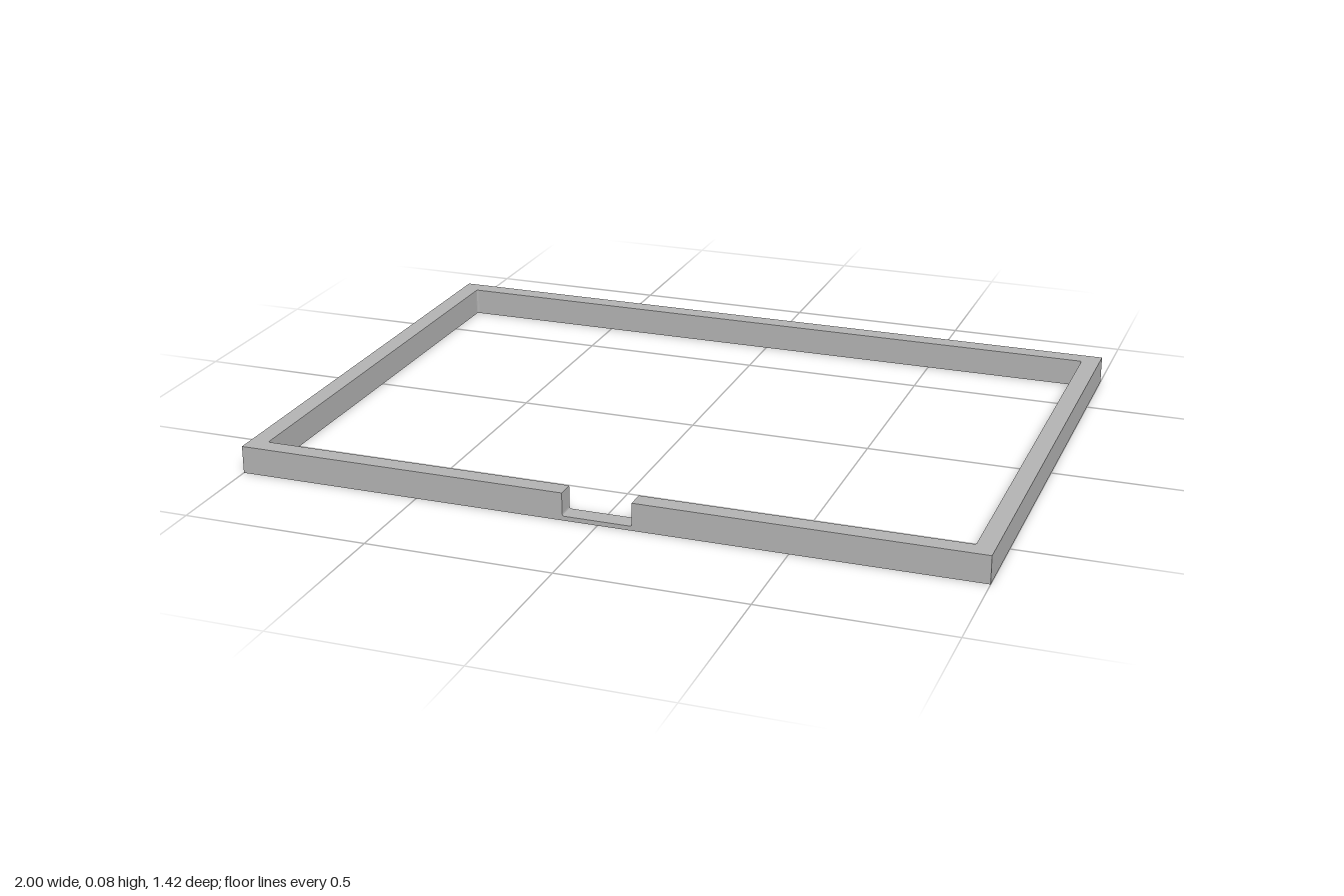
import * as THREE from 'three';

const W = 1, D = 0.71, H = 0.075; // half width, half depth, height
const T = 0.05; // wall thickness
const LEFT = 0.092, RIGHT = -0.095, SILL = 0.012; // notch in the front wall
const R = 0.006; // tiny fillet

export function createModel() {
  const group = new THREE.Group();
  group.name = 'frame';
  const grey = new THREE.MeshStandardMaterial({ color: 0xb2b2b2 });
  grey.name = 'grey';
  const add = (name, geometry) => {
    const mesh = new THREE.Mesh(geometry, grey);
    mesh.name = name;
    group.add(mesh);
  };

  // Full-height wall, open at the notch (plan drawn with the front at -y)
  const w = W - T, d = D - T;
  const plan = new THREE.Shape();
  plan.moveTo(LEFT, -D);
  plan.lineTo(W, -D);
  plan.lineTo(W, D);
  plan.lineTo(-W, D);
  plan.lineTo(-W, -D);
  plan.lineTo(RIGHT, -D);
  plan.lineTo(RIGHT, -d);
  plan.lineTo(-w + R, -d);
  plan.quadraticCurveTo(-w, -d, -w, -d + R);
  plan.lineTo(-w, d - R);
  plan.quadraticCurveTo(-w, d, -w + R, d);
  plan.lineTo(w - R, d);
  plan.quadraticCurveTo(w, d, w, d - R);
  plan.lineTo(w, -d + R);
  plan.quadraticCurveTo(w, -d, w - R, -d);
  plan.lineTo(LEFT, -d);
  plan.closePath();
  const wall = new THREE.ExtrudeGeometry(plan, { depth: H, bevelEnabled: false, curveSegments: 3 });
  add('wall', wall.rotateX(-Math.PI / 2));

  // Thin sill across the notch, with filleted ends
  const section = new THREE.Shape();
  section.moveTo(RIGHT, 0);
  section.lineTo(LEFT, 0);
  section.lineTo(LEFT, SILL + R);
  section.quadraticCurveTo(LEFT, SILL, LEFT - R, SILL);
  section.lineTo(RIGHT + R, SILL);
  section.quadraticCurveTo(RIGHT, SILL, RIGHT, SILL + R);
  section.closePath();
  const sill = new THREE.ExtrudeGeometry(section, { depth: T, bevelEnabled: false, curveSegments: 3 });
  add('notchSill', sill.translate(0, 0, d));

  return group;
}
